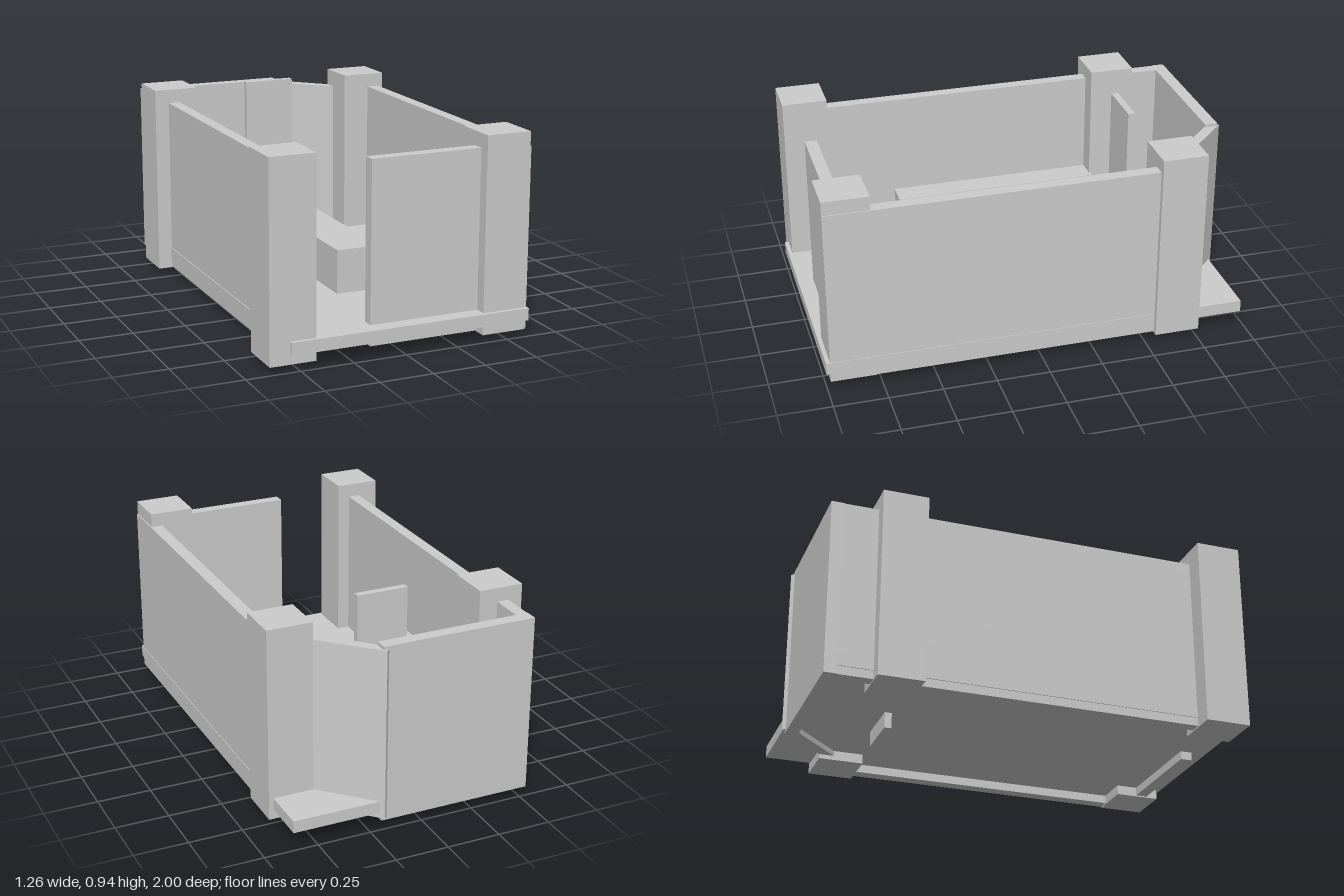
import * as THREE from 'three';

export function createModel() {
  const root = new THREE.Group();
  root.name = 'roomModel';
  const grey = new THREE.MeshStandardMaterial({ color: 0xcccccc, flatShading: true });
  grey.name = 'plain grey';

  const add = (name, geometry, x, y, z) => {
    const mesh = new THREE.Mesh(geometry, grey);
    mesh.name = name;
    mesh.position.set(x, y, z);
    root.add(mesh);
    return mesh;
  };

  // Box given by its extents on each axis
  const block = (name, [x0, x1], [y0, y1], [z0, z1]) =>
    add(name, new THREE.BoxGeometry(x1 - x0, y1 - y0, z1 - z0),
      (x0 + x1) / 2, (y0 + y1) / 2, (z0 + z1) / 2);

  const wallY = [0.035, 0.87];

  // Floor slab
  block('floor', [-0.54, 0.607], [0.075, 0.132], [-0.983, 1]);

  // Walls, which pass through the floor
  block('leftSideWall', [0.545, 0.604], wallY, [-0.66, 0.981]);
  block('rightSideWall', [-0.536, -0.48], wallY, [-0.925, 0.85]);
  block('backWall', [-0.54, 0.19], wallY, [-0.985, -0.925]);
  block('frontWall', [-0.14, 0.45], wallY, [0.87, 0.926]);

  // Diagonal wall across the back corner
  const diagonal = add('cornerWall', new THREE.BoxGeometry(0.4, 0.805, 0.05), 0.304, 0.4525, -0.841);
  diagonal.rotation.y = -Math.PI / 4;

  // Square corner posts, staggered slightly from one another
  for (const [name, x, z] of [
    ['frontRightPost', -0.527, 0.875], ['frontLeftPost', 0.4925, 0.875],
    ['backLeftPost', 0.522, -0.658], ['backRightPost', -0.497, -0.658],
  ]) add(name, new THREE.BoxGeometry(0.213, 0.907, 0.213), x, 0.4825, z);

  // Thin upright panel behind the counter
  block('uprightPanel', [-0.12, 0.125], [0, 0.94], [-0.595, -0.562]);

  // L-shaped counter
  block('counterLong', [-0.09, 0.12], [0.13, 0.34], [-0.562, 0.28]);
  block('counterReturn', [-0.09, 0.546], [0.13, 0.34], [0.28, 0.47]);

  // Wall shelf and the row of balls beside it
  block('shelf', [-0.482, -0.36], [0.333, 0.384], [-0.56, 0.442]);
  for (const z of [-0.355, -0.052, 0.253])
    add('ball', new THREE.SphereGeometry(0.048, 16, 12), -0.323, 0.274, z);

  return root;
}
